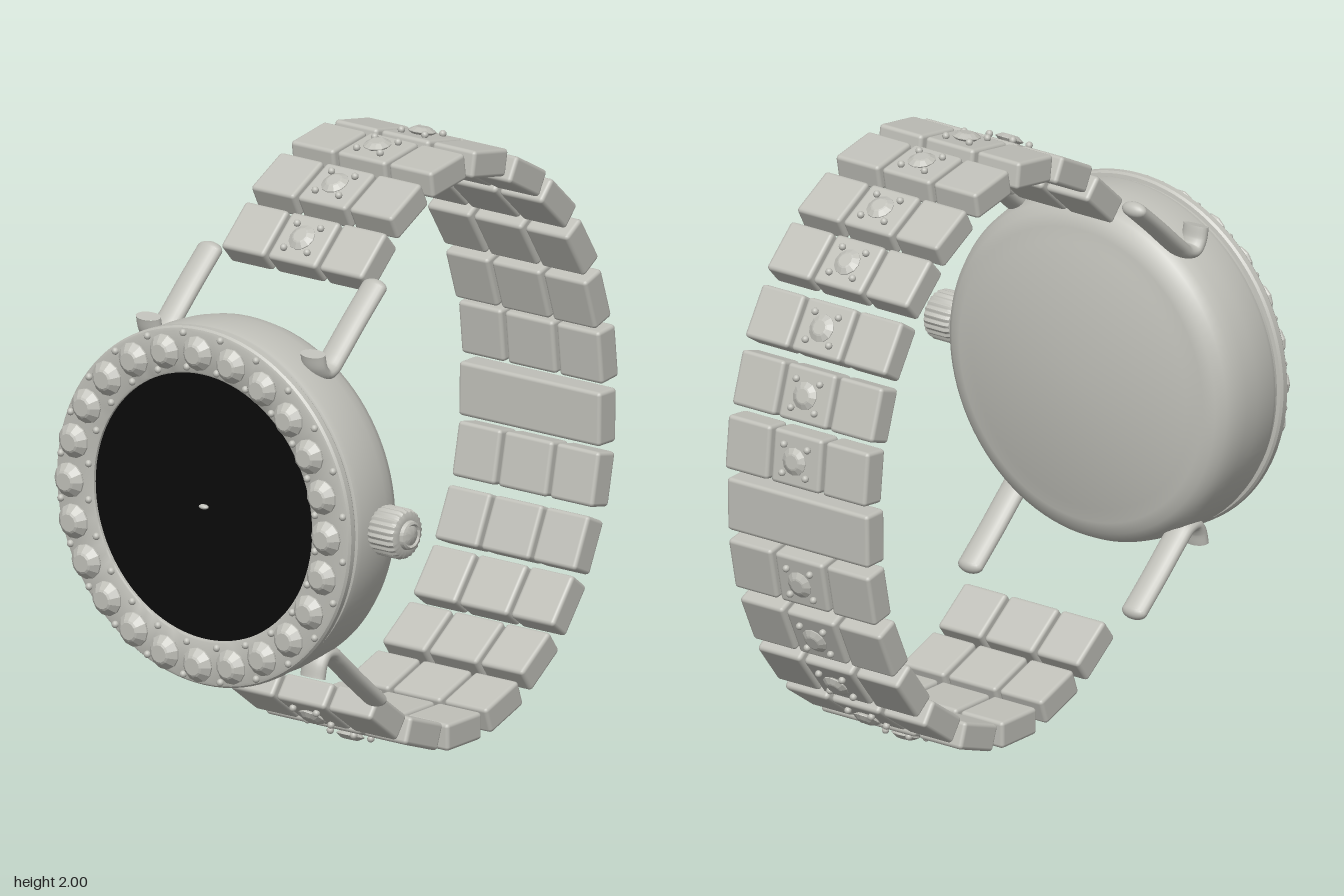
import * as THREE from 'three';
import { toCreasedNormals } from 'three/addons/utils/BufferGeometryUtils.js';
import { RoundedBoxGeometry } from 'three/addons/geometries/RoundedBoxGeometry.js';

const CX = -0.068, CY = 1.005; // centre of the watch head

export function createModel() {
  const model = new THREE.Group();
  model.name = 'wristwatch';

  const metal = new THREE.MeshStandardMaterial({ color: 0xbfbfb8 });
  metal.name = 'pale metal';
  const black = new THREE.MeshStandardMaterial({ color: 0x0a0a0a });
  black.name = 'black glass';

  const add = (parent, name, geometry, x = 0, y = 0, z = 0, material = metal) => {
    const mesh = new THREE.Mesh(geometry, material);
    mesh.name = name;
    mesh.position.set(x, y, z);
    parent.add(mesh);
    return mesh;
  };
  const lathe = (points, segments, crease = 0.6) => toCreasedNormals(
    new THREE.LatheGeometry(points.map(p => new THREE.Vector2(...p)), segments), crease);

  // Cut stone: pavilion, girdle, crown and flat table, along +y from its seat
  const stone = (r, h) => lathe([[0, 0], [r * 0.75, h * 0.12], [r, h * 0.42], [r, h * 0.52],
    [r * 0.62, h * 0.93], [r * 0.5, h], [0, h]], 12, 0.1);
  const bead = new THREE.SphereGeometry(0.012, 12, 8);

  // ---- Watch head ----
  const head = new THREE.Group();
  head.name = 'head';
  head.position.set(CX, CY, 0);
  model.add(head);

  add(head, 'case', lathe([[0, 0.537], [0.43, 0.54], [0.445, 0.546], [0.49, 0.55], [0.53, 0.563],
    [0.557, 0.587], [0.573, 0.62], [0.581, 0.66], [0.585, 0.71], [0.585, 0.79], [0.58, 0.807],
    [0.565, 0.815], [0.5, 0.815]], 96).rotateX(Math.PI / 2));

  add(head, 'bezel', lathe([[0.42, 0.8], [0.572, 0.8], [0.572, 0.825], [0.584, 0.828], [0.59, 0.836],
    [0.59, 0.855], [0.584, 0.863], [0.575, 0.866], [0.444, 0.866], [0.438, 0.862], [0.438, 0.84]],
    96).rotateX(Math.PI / 2));

  add(head, 'dial', new THREE.CircleGeometry(0.442, 96), 0, 0, 0.852, black);
  add(head, 'dialPin', new THREE.SphereGeometry(1, 16, 10), 0, 0, 0.858).scale.set(0.018, 0.008, 0.012);

  // Ring of stones with holding beads between them
  const bezelStone = stone(0.057, 0.056).rotateX(Math.PI / 2);
  for (let i = 0; i < 24; i++) {
    const a = i * Math.PI / 12, b = a + Math.PI / 24;
    add(head, 'bezelStone', bezelStone, 0.515 * Math.cos(a), 0.515 * Math.sin(a), 0.864).rotation.z = a;
    for (const r of [0.458, 0.57]) {
      add(head, 'bezelBead', bead, r * Math.cos(b), r * Math.sin(b), 0.868);
    }
  }

  // Crown with fluted rim, pointing along +x
  const crown = new THREE.LatheGeometry([[0, 0], [0.06, 0], [0.074, 0.006], [0.08, 0.02], [0.08, 0.092],
    [0.074, 0.106], [0.062, 0.112], [0.048, 0.112], [0.045, 0.124], [0.038, 0.128], [0.032, 0.122],
    [0.02, 0.127], [0, 0.13]].map(p => new THREE.Vector2(...p)), 144);
  const pos = crown.attributes.position;
  for (let i = 0; i < pos.count; i++) {
    const x = pos.getX(i), z = pos.getZ(i), r = Math.hypot(x, z);
    if (r < 0.07) continue;
    const k = 1 + 0.03 * Math.cos(24 * Math.atan2(z, x));
    pos.setX(i, x * k);
    pos.setZ(i, z * k);
  }
  add(head, 'crown', toCreasedNormals(crown, 0.6).rotateZ(-Math.PI / 2), 0.587, 0, 0.7);
  add(head, 'crownStem', new THREE.CylinderGeometry(0.04, 0.04, 0.06, 24).rotateZ(Math.PI / 2), 0.575, 0, 0.7);

  // ---- Lugs: flattened bent rods, mirrored to all four corners ----
  const lugPath = new THREE.CatmullRomCurve3([[0.535, 0.72], [0.49, 0.708], [0.464, 0.685], [0.468, 0.65],
    [0.5, 0.61], [0.59, 0.51], [0.68, 0.405]].map(([y, z]) => new THREE.Vector3(0, y, z)));
  const rod = new THREE.TubeGeometry(lugPath, 48, 0.026, 20);
  const tip = new THREE.SphereGeometry(0.026, 20, 14);
  const tailCap = new THREE.CircleGeometry(0.026, 20).rotateX(-Math.PI / 2 + 0.25);
  for (const sx of [-1, 1]) for (const sy of [-1, 1]) {
    const lug = new THREE.Group();
    lug.name = (sy > 0 ? 'upper' : 'lower') + (sx > 0 ? 'Left' : 'Right') + 'Lug';
    lug.position.x = sx * 0.33;
    lug.scale.set(1.8, sy, 1);
    add(lug, 'lugRod', rod);
    add(lug, 'lugTip', tip, 0, 0.68, 0.405);
    add(lug, 'lugTail', tailCap, 0, 0.535, 0.72);
    head.add(lug);
  }

  // ---- Bracelet: z, y and tilt in degrees of each link, from top to bottom ----
  const links = [
    [0.317, 1.733, 42], [0.159, 1.865, 27], [-0.042, 1.934, 8], [-0.254, 1.923, -11],
    [-0.45, 1.833, -29], [-0.608, 1.706, -43], [-0.73, 1.532, -58], [-0.81, 1.341, -72],
    [-0.862, 1.146, -84], [-0.857, 0.939, -91], [-0.836, 0.738, -102], [-0.762, 0.537, -115],
    [-0.661, 0.362, -128], [-0.513, 0.214, -145], [-0.328, 0.108, -161], [-0.122, 0.076, -180],
    [0.085, 0.119, -200], [0.27, 0.219, -217],
  ];
  const H = 0.09, L = 0.178;
  const sideLink = new RoundedBoxGeometry(0.173, H, L, 2, 0.013);
  const midLink = new RoundedBoxGeometry(0.194, H, L, 2, 0.013);
  const clasp = new RoundedBoxGeometry(0.568, H, L, 2, 0.013);
  const linkStone = stone(0.046, 0.026);

  links.forEach(([z, y, tilt], i) => {
    const link = new THREE.Group();
    link.name = 'braceletLink';
    link.position.set(CX, y, z);
    link.rotation.x = THREE.MathUtils.degToRad(tilt);
    model.add(link);
    if (i === 9) {
      add(link, 'clasp', clasp);
      return;
    }
    add(link, 'rightLink', sideLink, -0.197);
    add(link, 'middleLink', midLink);
    add(link, 'leftLink', sideLink, 0.197);
    // Stone held by four beads on the outer face
    add(link, 'linkStone', linkStone, 0, H / 2 - 0.002, 0);
    for (const px of [-0.047, 0.047]) for (const pz of [-0.047, 0.047]) {
      add(link, 'linkBead', bead, px, H / 2 + 0.008, pz);
    }
  });

  return model;
}
